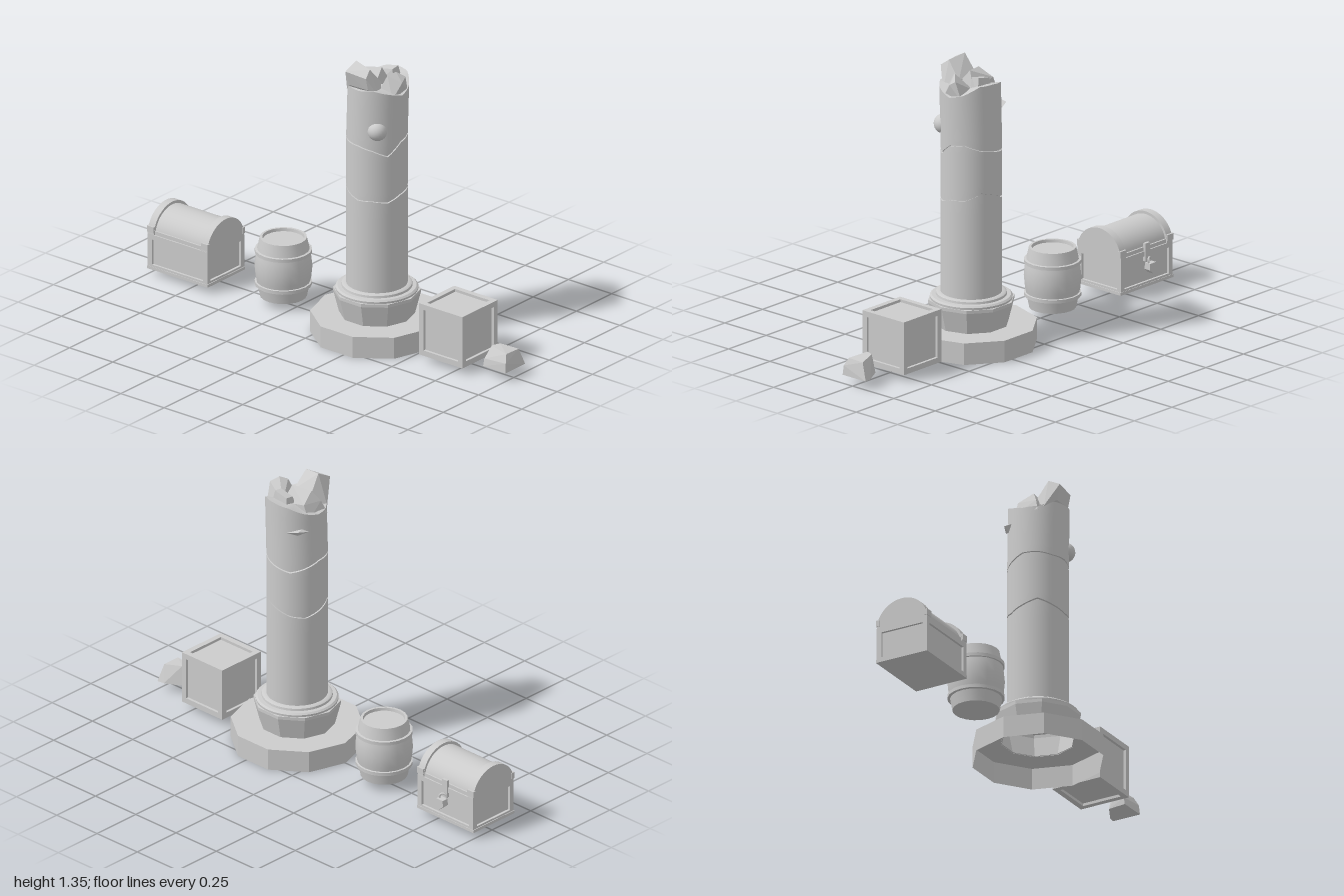
import * as THREE from 'three';
import { toCreasedNormals } from 'three/addons/utils/BufferGeometryUtils.js';
import { ConvexGeometry } from 'three/addons/geometries/ConvexGeometry.js';

const smooth = new THREE.MeshStandardMaterial({ color: 0xcccccc });
const flat = new THREE.MeshStandardMaterial({ color: 0xcccccc, flatShading: true });
const shell = new THREE.MeshStandardMaterial({ color: 0xcccccc, flatShading: true, side: THREE.DoubleSide });

function add(parent, name, geometry, x = 0, y = 0, z = 0, material = smooth) {
  const mesh = new THREE.Mesh(geometry, material);
  mesh.name = name;
  mesh.position.set(x, y, z);
  parent.add(mesh);
  return mesh;
}

function group(parent, name, x = 0, y = 0, z = 0) {
  const g = new THREE.Group();
  g.name = name;
  g.position.set(x, y, z);
  parent.add(g);
  return g;
}

const box = (w, h, d) => new THREE.BoxGeometry(w, h, d);

function lathe(points, sides, start = 0) {
  return new THREE.LatheGeometry(points.map(p => new THREE.Vector2(...p)), sides, start);
}

const rock = points => new ConvexGeometry(points.map(p => new THREE.Vector3(...p)));

// Twelve beams along the edges of a box
function edgeFrame(parent, size, t) {
  for (let axis = 0; axis < 3; axis++) {
    const b = (axis + 1) % 3, c = (axis + 2) % 3;
    for (const i of [-1, 1]) for (const j of [-1, 1]) {
      const dim = [t, t, t], pos = [0, 0, 0];
      dim[axis] = size[axis];
      pos[b] = i * (size[b] - t) / 2;
      pos[c] = j * (size[c] - t) / 2;
      add(parent, 'edgeBeam', box(...dim), ...pos);
    }
  }
}

// Height of a jagged edge around the shaft, twelve values starting at the front
function edgeHeight(values, angle) {
  const a = ((angle / (2 * Math.PI)) * 12 + 24) % 12;
  const i = Math.floor(a) % 12, f = a - Math.floor(a);
  return values[i] * (1 - f) + values[(i + 1) % 12] * f;
}

// Drum of the shaft between two jagged edges
function drum(lower, upper, gap, lean = 0) {
  const g = new THREE.CylinderGeometry(0.138, 0.138, 1, 48, 6);
  const p = g.attributes.position;
  for (let i = 0; i < p.count; i++) {
    const x = p.getX(i), z = p.getZ(i), t = p.getY(i) + 0.5;
    const a = Math.atan2(x, z);
    const y = edgeHeight(lower, a) * (1 - t) + (edgeHeight(upper, a) - gap) * t;
    p.setY(i, y);
    p.setX(i, x + lean * t);
  }
  return toCreasedNormals(g, 0.6);
}

function buildPillar(root) {
  const pillar = group(root, 'brokenPillar', 0.21);
  const quarter = Math.PI / 2;
  // Hollow ten-sided plinth and flared collar
  add(pillar, 'plinth', lathe([[0.3, 0], [0.3, 0.102], [0.165, 0.102]], 10, quarter), 0, 0, 0, shell);
  add(pillar, 'collar', lathe([[0.17, 0.1], [0.197, 0.205], [0.197, 0.22], [0.13, 0.222]], 10, quarter), 0, 0, 0, shell);
  add(pillar, 'collarRing', toCreasedNormals(lathe(
    [[0.185, 0.218], [0.186, 0.23], [0.178, 0.237], [0.16, 0.238], [0.158, 0.248], [0.15, 0.253], [0.13, 0.253]], 40), 0.6));

  // Three drums separated by cracks around a narrower core
  const foot = Array(12).fill(0.2);
  const crack1 = [0.7, 0.705, 0.695, 0.72, 0.725, 0.755, 0.735, 0.71, 0.7, 0.72, 0.745, 0.72];
  const crack2 = [0.965, 0.95, 0.92, 0.975, 0.985, 0.96, 0.945, 0.93, 0.95, 0.975, 0.975, 0.965];
  const top = [1.23, 1.24, 1.22, 1.2, 1.22, 1.26, 1.26, 1.25, 1.22, 1.2, 1.2, 1.23];
  add(pillar, 'lowerDrum', drum(foot, crack1, 0.007));
  add(pillar, 'middleDrum', drum(crack1, crack2, 0.007));
  add(pillar, 'upperDrum', drum(crack2, top, 0, 0.008));
  add(pillar, 'core', new THREE.CylinderGeometry(0.13, 0.13, 0.6, 32), 0, 0.85, 0);

  // Worn knob and chipped ledge on the upper drum
  add(pillar, 'knob', new THREE.SphereGeometry(0.045, 20, 14), 0.08, 1.04, 0.095);
  const ledge = add(pillar, 'chippedLedge', rock([
    [-0.05, 0, 0], [0.05, 0.005, 0], [0, 0.012, 0.022], [0, -0.015, 0], [0.02, 0.018, 0]]), -0.095, 1.13, -0.095, flat);
  ledge.rotation.y = Math.PI * 1.25;

  // Broken stone at the top
  const shards = [
    [[-0.1, 1.2, 0.09], [0.09, 1.2, 0.09], [-0.05, 1.345, 0.085], [0.04, 1.33, 0.1], [-0.06, 1.31, 0.15],
      [0.05, 1.3, 0.14], [-0.05, 1.24, 0.13], [0.05, 1.24, 0.125], [-0.06, 1.25, 0.02], [0.05, 1.25, 0.03]],
    [[0.05, 1.2, 0.06], [0.13, 1.19, 0.05], [0.13, 1.19, -0.06], [0.145, 1.26, 0.0], [0.11, 1.305, 0.0],
      [0.085, 1.29, 0.03], [0.14, 1.28, -0.03], [0.04, 1.22, -0.05]],
    [[-0.03, 1.2, -0.1], [0.07, 1.2, -0.1], [-0.02, 1.275, -0.09], [0.05, 1.29, -0.09], [0.05, 1.285, -0.05],
      [-0.02, 1.27, -0.05], [0.06, 1.2, -0.04], [-0.03, 1.2, -0.03]],
    [[-0.12, 1.18, -0.05], [-0.12, 1.18, 0.07], [-0.1, 1.24, 0.05], [-0.07, 1.29, 0.02], [-0.09, 1.25, -0.05],
      [0.02, 1.3, -0.01], [0.04, 1.22, -0.05], [0.03, 1.22, 0.06]],
  ];
  for (const s of shards) add(pillar, 'brokenStone', rock(s), 0, 0, 0, flat);
}

function buildBarrel(root) {
  const barrel = group(root, 'barrel', -0.33);
  const profile = [[0, 0.036], [0.106, 0.036], [0.117, 0.09], [0.125, 0.13], [0.13, 0.18], [0.125, 0.23],
    [0.117, 0.27], [0.106, 0.32], [0.095, 0.32], [0.093, 0.306], [0, 0.306]];
  add(barrel, 'staves', toCreasedNormals(lathe(profile, 20), 0.7));
  // Hoops
  for (const y of [0.1, 0.255]) {
    add(barrel, 'hoop', toCreasedNormals(lathe(
      [[0.115, y - 0.01], [0.129, y - 0.008], [0.129, y + 0.008], [0.115, y + 0.01]], 20), 0.7));
  }
}

// Half-round prism along x
function arch(radius, height, width) {
  const g = new THREE.CylinderGeometry(radius, radius, width, 32, 1, false, 0, Math.PI);
  g.rotateZ(Math.PI / 2);
  g.scale(1, height / radius, 1);
  return g;
}

function buildChest(root) {
  const chest = group(root, 'chest', -0.825, 0, 0.012);
  add(chest, 'body', box(0.32, 0.16, 0.24), 0, 0.117, 0);
  const frame = group(chest, 'bodyFrame', 0, 0.115, 0);
  edgeFrame(frame, [0.344, 0.17, 0.262], 0.024);
  add(chest, 'bottomBoard', box(0.35, 0.014, 0.266), 0, 0.037, 0);
  // Rounded lid with a raised band at each end
  add(chest, 'lid', arch(0.12, 0.112, 0.32), 0, 0.195, 0);
  add(chest, 'lidFloor', box(0.32, 0.01, 0.24), 0, 0.194, 0);
  for (const s of [-1, 1]) {
    add(chest, 'lidBand', arch(0.131, 0.124, 0.036), s * 0.154, 0.196, 0);
    for (const f of [-1, 1]) {
      add(chest, 'lidRail', box(0.31, 0.022, 0.014), 0, 0.207, f * 0.118);
      add(chest, 'cornerTab', box(0.038, 0.03, 0.018), s * 0.156, 0.223, f * 0.124);
    }
  }
  // Lock on the back
  const lock = group(chest, 'lock', 0, 0, -0.13);
  add(lock, 'hasp', box(0.03, 0.085, 0.014), 0, 0.195, 0);
  const ring = add(lock, 'shackle', new THREE.TorusGeometry(0.017, 0.005, 8, 16), 0, 0.155, -0.016);
  ring.rotation.y = 0.5;
  add(lock, 'padlock', rock([-0.008, -0.04].flatMap(z => [
    [-0.02, 0.15, z], [0.02, 0.15, z], [0.022, 0.12, z], [0, 0.1, z], [-0.022, 0.12, z]])), 0, 0, 0, flat);
}

function buildCrate(root) {
  const crate = group(root, 'crate', 0.676, 0.155, -0.004);
  add(crate, 'panels', box(0.224, 0.224, 0.224));
  edgeFrame(crate, [0.25, 0.25, 0.25], 0.026);
}

function buildLooseStone(root) {
  add(root, 'looseStone', rock([
    [0.87, 0.04, 0.058], [1.0, 0.04, 0.06], [1.0, 0.04, -0.08], [0.965, 0.04, -0.075], [0.88, 0.04, -0.03],
    [0.872, 0.075, 0.052], [0.998, 0.085, 0.055], [0.885, 0.13, 0.015], [0.985, 0.122, 0.035],
    [0.987, 0.12, -0.05], [0.9, 0.132, -0.025]]), 0, 0, 0, flat);
}

export function createModel() {
  const root = new THREE.Group();
  root.name = 'ruinProps';
  buildChest(root);
  buildBarrel(root);
  buildPillar(root);
  buildCrate(root);
  buildLooseStone(root);
  return root;
}
